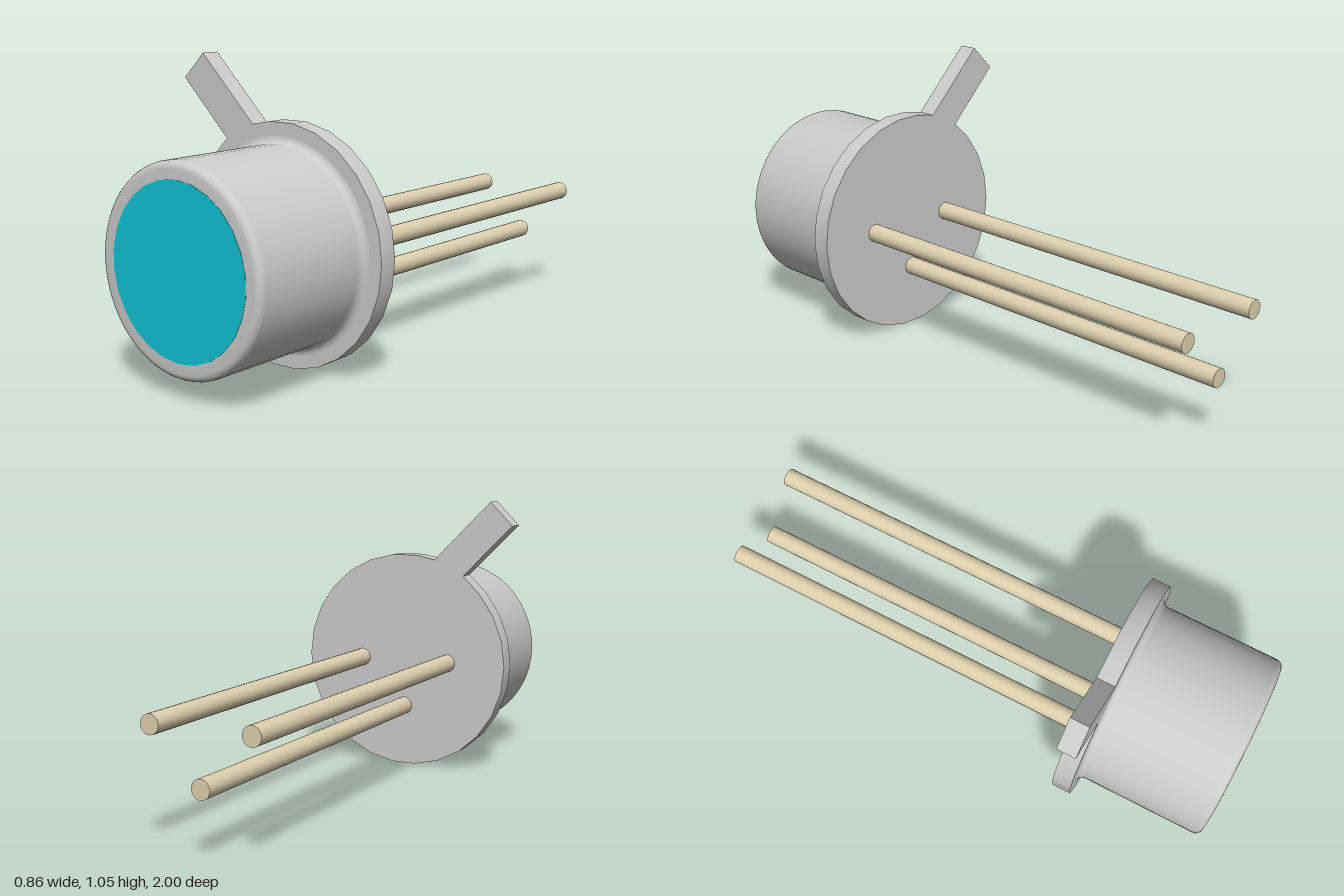
import * as THREE from 'three';
import { toCreasedNormals } from 'three/addons/utils/BufferGeometryUtils.js';

const CX = 0.01, CY = 0.42; // axis of the can
const SIDES = 26;

export function createModel() {
  const model = new THREE.Group();
  const metal = new THREE.MeshStandardMaterial({ color: 0xcccccc });
  const glass = new THREE.MeshStandardMaterial({ color: 0x10c4d6 });
  const lead = new THREE.MeshStandardMaterial({ color: 0xddd0ae });

  const add = (name, geometry, material, x, y, z) => {
    const mesh = new THREE.Mesh(geometry, material);
    mesh.name = name;
    mesh.position.set(x, y, z);
    model.add(mesh);
    return mesh;
  };

  // Flange: faceted disc with a diagonal index tab in one outline
  const outline = [];
  for (let i = 0; i < SIDES; i++) {
    if (i === 8) {
      outline.push([-0.127, 0.402], [-0.355, 0.63], [-0.444, 0.541], [-0.247, 0.344]);
    }
    if (i === 8 || i === 9) continue; // covered by the tab
    const a = (i / SIDES) * Math.PI * 2;
    outline.push([0.42 * Math.cos(a), 0.42 * Math.sin(a)]);
  }
  const shape = new THREE.Shape(outline.map(([x, y]) => new THREE.Vector2(x, y)));
  const flange = new THREE.ExtrudeGeometry(shape, { depth: 0.07, bevelEnabled: false });
  add('flangeWithTab', toCreasedNormals(flange, 0.4), metal, CX, CY, 0.45);

  // Can: small fillet at the flange, rounded front edge, flat rim
  const profile = [new THREE.Vector2(0.372, 0.518)];
  const arc = (cx, cy, r, from, to) => {
    for (let i = 0; i <= 5; i++) {
      const a = from + ((to - from) * i) / 5;
      profile.push(new THREE.Vector2(cx + r * Math.cos(a), cy + r * Math.sin(a)));
    }
  };
  arc(0.372, 0.545, 0.025, Math.PI * 1.5, Math.PI);
  arc(0.322, 0.975, 0.025, 0, Math.PI / 2);
  profile.push(new THREE.Vector2(0.285, 1));
  const can = new THREE.LatheGeometry(profile, 52);
  can.rotateX(Math.PI / 2);
  add('can', toCreasedNormals(can, 0.6), metal, CX, CY, 0);

  // Window set flush in the rim
  const pane = new THREE.CylinderGeometry(0.29, 0.29, 0.03, SIDES);
  pane.rotateX(Math.PI / 2);
  add('window', pane, glass, CX, CY, 0.986);

  // Three leads out of the back
  const rod = new THREE.CylinderGeometry(0.034, 0.034, 1.47, 20);
  rod.rotateX(Math.PI / 2);
  [['leftLead', 0.183, 0], ['rightLead', -0.183, 0], ['lowerLead', 0, -0.183]].forEach(([name, dx, dy]) =>
    add(name, rod, lead, CX + dx, CY + dy, -0.265));

  return model;
}
